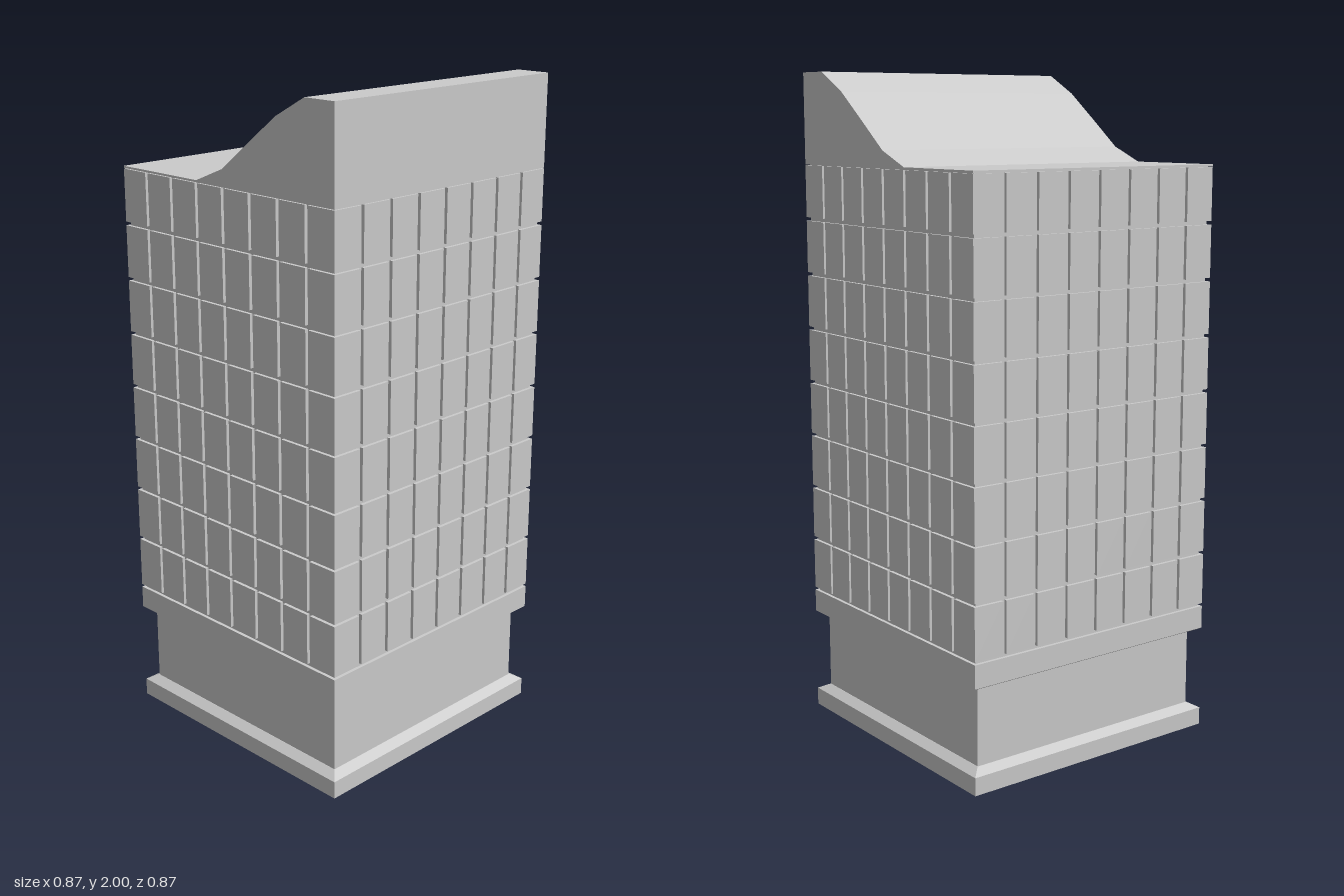
import * as THREE from 'three';

const HALF = 0.433;          // half width of the tower
const DEPTH = 0.01;          // groove depth between the panels
const GAP = 0.011;           // groove width
const BAYS = 8, FLOORS = 8;
const BOTTOM = 0.385, TOP = 1.727;

export function createModel() {
  const model = new THREE.Group();
  model.name = 'officeTower';
  const material = new THREE.MeshStandardMaterial({ color: 0xcccccc, flatShading: true });

  const add = (name, geometry, parent = model) => {
    const mesh = new THREE.Mesh(geometry, material);
    mesh.name = name;
    parent.add(mesh);
    return mesh;
  };

  // Square solid from [half width, height] steps, bottom to top
  const squareLathe = (steps) => new THREE.LatheGeometry(
    steps.map(([h, y]) => new THREE.Vector2(h * Math.SQRT2, y)), 4, Math.PI / 4);

  // Plinth with a sloped top edge, and the recessed ground floor
  add('plinth', squareLathe([[0, 0], [HALF, 0], [HALF, 0.054], [0.403, 0.07], [0, 0.07]]));
  add('groundFloor', squareLathe([[0.402, 0.07], [0.402, 0.315]]));

  // Overhanging band and the core seen in the grooves
  add('lowerBand', squareLathe([[0, 0.31], [0.425, 0.31], [HALF, 0.315], [HALF, BOTTOM], [0, BOTTOM]]));
  const core = HALF - DEPTH;
  add('core', squareLathe([[core, BOTTOM], [core, TOP + 0.002]]));

  // Facade panels: front and back wrap the corners, the sides butt against them
  const bay = (2 * HALF + GAP) / BAYS;
  const floor = (TOP - BOTTOM) / FLOORS;
  for (const [side, name] of ['front', 'left', 'back', 'right'].entries()) {
    const facade = new THREE.Group();
    facade.name = name + 'Facade';
    facade.rotation.y = side * Math.PI / 2;
    const limit = side % 2 ? core : HALF;
    for (let i = 0; i < BAYS; i++) {
      const x0 = Math.max(-HALF + i * bay, -limit);
      const x1 = Math.min(-HALF + (i + 1) * bay - GAP, limit);
      const panel = new THREE.BoxGeometry(x1 - x0, floor - GAP, DEPTH);
      for (let j = 0; j < FLOORS; j++) {
        add('panel', panel, facade).position.set(
          (x0 + x1) / 2, BOTTOM + j * floor + (floor + GAP) / 2 - 0.002, HALF - DEPTH / 2);
      }
    }
    model.add(facade);
  }

  // Roof sweeping up towards the front, profile as [z, y]
  const profile = [
    [-HALF, TOP], [HALF, TOP], [HALF, 2], [0.325, 2], [0.217, 1.942],
    [0.108, 1.86], [0, 1.777], [-0.108, 1.733], [-HALF, 1.733],
  ];
  const roof = new THREE.ExtrudeGeometry(
    new THREE.Shape(profile.map(([z, y]) => new THREE.Vector2(z, y))),
    { depth: 2 * HALF, bevelEnabled: false });
  roof.rotateY(-Math.PI / 2).translate(HALF, 0, 0);
  add('sweptRoof', roof);

  return model;
}
